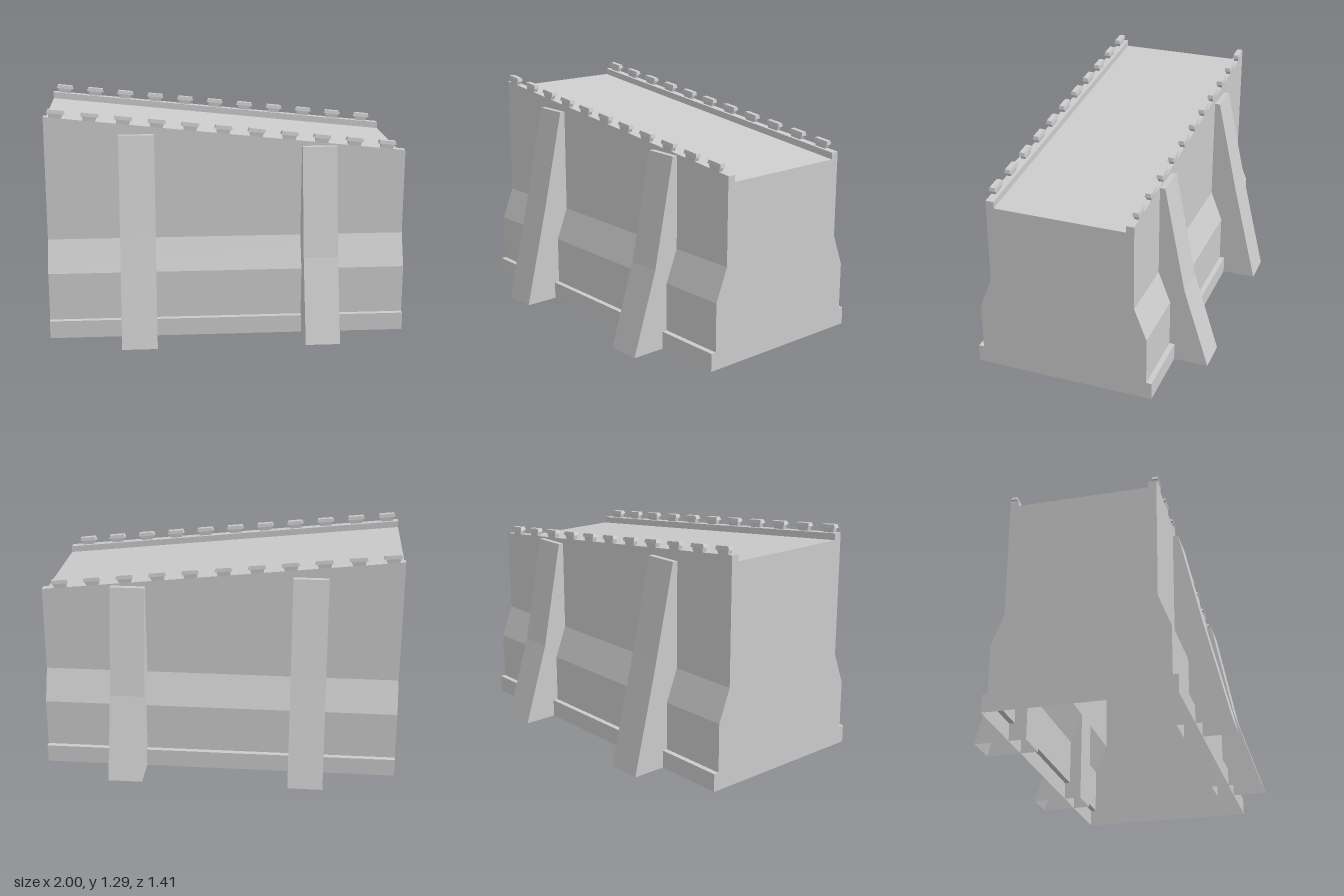
import * as THREE from 'three';

const material = new THREE.MeshStandardMaterial({ color: 0xcccccc, flatShading: true, side: THREE.DoubleSide });
const SLOPE = -0.1075;                       // fall of the wall walk along x
const topAt = (x) => 1.1375 + SLOPE * x;     // height of the parapet top

// Extrude a [z, y] profile along x, then drop triangles whose corners all pass the test
function extrudeAlongX(points, x0, x1, isOpen) {
  const shape = new THREE.Shape(points.map(([z, y]) => new THREE.Vector2(-z, y)));
  const solid = new THREE.ExtrudeGeometry(shape, { depth: x1 - x0, bevelEnabled: false });
  solid.rotateY(Math.PI / 2).translate(x0, 0, 0);
  const p = solid.attributes.position;
  const kept = [];
  for (let i = 0; i < p.count; i += 3) {
    const tri = [0, 1, 2].map((k) => new THREE.Vector3().fromBufferAttribute(p, i + k));
    if (!tri.every(isOpen)) tri.forEach((v) => kept.push(v.x, v.y, v.z));
  }
  const geometry = new THREE.BufferGeometry();
  geometry.setAttribute('position', new THREE.Float32BufferAttribute(kept, 3));
  geometry.computeVertexNormals();
  return geometry;
}

// Box standing on y = 0 whose bottom and top differ in size
function taperedBox(w0, d0, w1, d1, h) {
  const geometry = new THREE.BoxGeometry(1, h, 1).translate(0, h / 2, 0);
  const p = geometry.attributes.position;
  for (let i = 0; i < p.count; i++) {
    const upper = p.getY(i) > h / 2;
    p.setX(i, p.getX(i) * (upper ? w1 : w0));
    p.setZ(i, p.getZ(i) * (upper ? d1 : d0));
  }
  geometry.computeVertexNormals();
  return geometry;
}

function addMesh(parent, name, geometry) {
  const mesh = new THREE.Mesh(geometry, material);
  mesh.name = name;
  parent.add(mesh);
  return mesh;
}

// Hollow wall with plinth, sloped waist, parapets and sunken walk, open below
function makeWall() {
  const half = [
    [0.51, 0], [0.51, 0.1], [0.48, 0.1], [0.48, 0.37], [0.41, 0.55],
    [0.41, topAt(0)], [0.365, topAt(0)], [0.365, topAt(0) - 0.037],
  ];
  const profile = [...half, ...half.map(([z, y]) => [-z, y]).reverse()];
  const geometry = extrudeAlongX(profile, -1, 1, (v) => Math.abs(v.y) < 1e-4);
  const p = geometry.attributes.position;
  for (let i = 0; i < p.count; i++) {
    if (p.getY(i) > 1) p.setY(i, p.getY(i) + SLOPE * p.getX(i));
  }
  geometry.computeVertexNormals();
  return geometry;
}

// Leaning buttress shell, open below and against the wall
function makeButtress(side, { x0, x1, knee, top }) {
  const profile = [[0.41, 0], [0.705, 0], [0.56, knee], [0.44, top], [0.41, top]];
  const geometry = extrudeAlongX(profile.map(([z, y]) => [z * side, y]), x0, x1,
    (v) => Math.abs(v.y) < 1e-4);
  return geometry;
}

export function createModel() {
  const model = new THREE.Group();
  model.name = 'rampart';
  addMesh(model, 'wall', makeWall());

  const buttresses = [
    { x0: -0.595, x1: -0.4, knee: 0.6, top: 1.142 },
    { x0: 0.418, x1: 0.61, knee: 0.46, top: 1.063 },
  ];
  const merlonBase = taperedBox(0.068, 0.026, 0.08, 0.03, 0.024);
  const merlonCap = taperedBox(0.1, 0.036, 0.088, 0.03, 0.02);

  for (const side of [1, -1]) {
    const label = side > 0 ? 'front' : 'back';
    buttresses.forEach((b) => addMesh(model, label + 'Buttress', makeButtress(side, b)));

    // Row of small flared merlons following the slope
    for (let i = 0; i < 11; i++) {
      const x = -0.935 + i * 0.183;
      const merlon = new THREE.Group();
      merlon.name = label + 'Merlon';
      addMesh(merlon, 'merlonBase', merlonBase);
      addMesh(merlon, 'merlonCap', merlonCap).position.y = 0.024;
      merlon.position.set(x, topAt(x), side * 0.397);
      merlon.rotation.z = Math.atan(SLOPE);
      model.add(merlon);
    }
  }
  return model;
}
